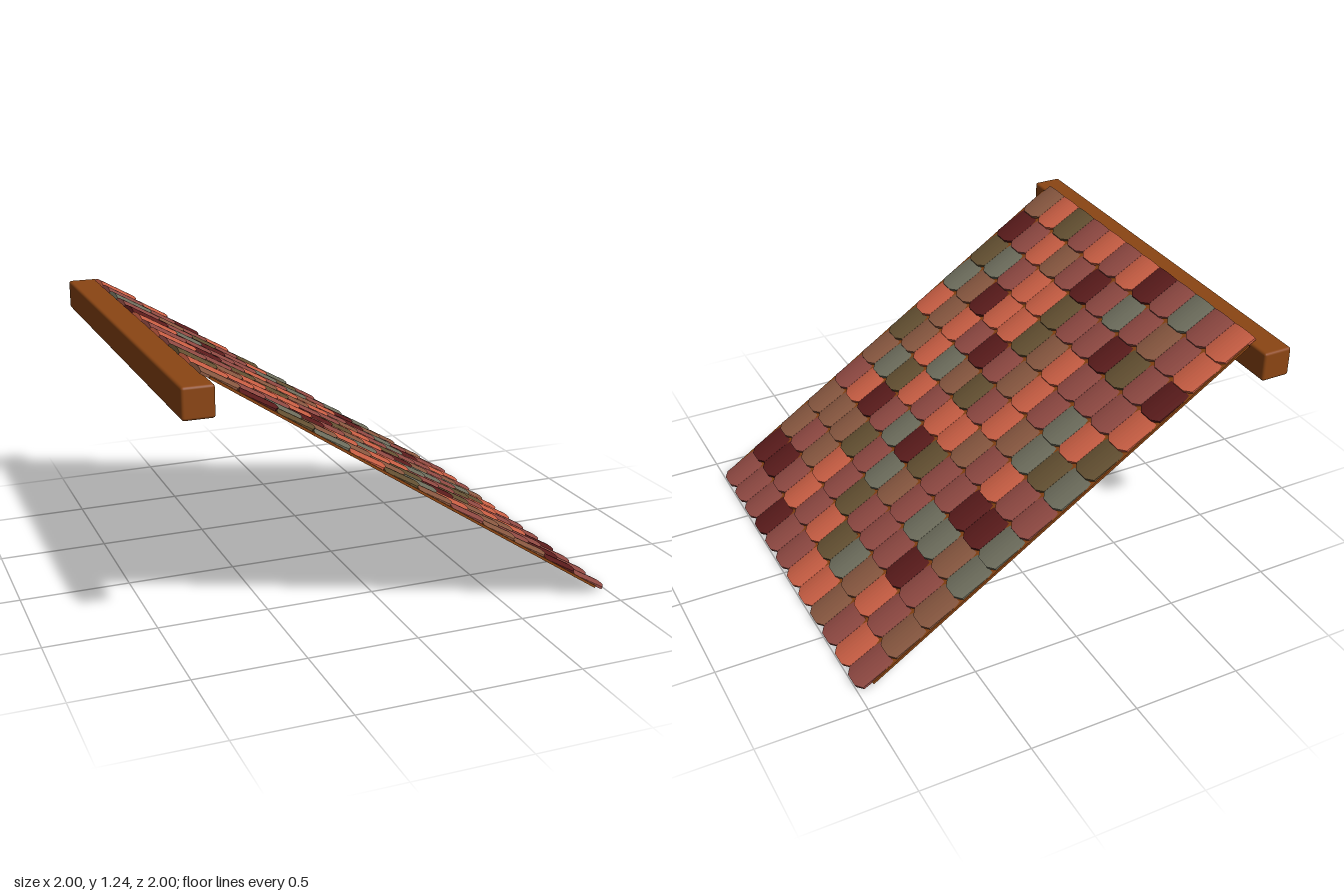
import * as THREE from 'three';
import { RoundedBoxGeometry } from 'three/addons/geometries/RoundedBoxGeometry.js';

const SLOPE = -0.583;
const PITCH_U = 0.187, PITCH_Z = 0.1483;
const TILE = { length: 0.192, thick: 0.018, arch: 0.009, clip: 0.024, tilt: -0.06 };

const GLAZES = {
  O: 0xcd6045, R: 0x934b44, D: 0x5c1c1c, B: 0x8c5a42, V: 0x665233, G: 0x70705f,
};

// One string per course, ridge to eave; letters run from +z to -z
const COURSES = [
  'BOVRORODRGRO', 'DROBRDRGRBRO', 'VGROOVRRDVRD', 'GBDOOVBORRRO',
  'OBORDRBORGOV', 'VBOGBVROBGVG', 'BGVOROOBRORR', 'RODRGDVRRDDG',
  'BBBVRGBRGGBG', 'BRBORVRRRDRB', 'DDROROVGBORB', 'RRRDRROOBROR',
];

// Arched tile: origin at the top of its lower edge, running back along -x
function tileGeometry() {
  const geo = new THREE.BoxGeometry(TILE.length, TILE.thick, PITCH_Z - 0.001, 1, 1, 8);
  geo.translate(-TILE.length / 2, -TILE.thick / 2, 0);
  const p = geo.attributes.position;
  for (let i = 0; i < p.count; i++) {
    const s = Math.abs(p.getZ(i)) / (PITCH_Z / 2);
    const top = p.getY(i) > -TILE.thick / 2;
    // round the back down at the sides and clip the lower corners
    p.setY(i, p.getY(i) - (top ? TILE.arch : 0.002) * s * s);
    if (p.getX(i) > -0.01) p.setX(i, p.getX(i) - TILE.clip * Math.max(0, (s - 0.5) / 0.5));
  }
  geo.computeVertexNormals();
  return geo;
}

export function createModel() {
  const model = new THREE.Group();
  model.name = 'tiledRoofSlope';
  const wood = new THREE.MeshStandardMaterial({ color: 0x8b4513 });

  // Ridge beam
  const beam = new THREE.Mesh(new RoundedBoxGeometry(0.135, 0.135, 2, 2, 0.012), wood);
  beam.name = 'ridgeBeam';
  beam.position.set(-0.9325, 1.152, 0);
  model.add(beam);

  // Sloped frame: x runs down the slope, y is its normal
  const slope = new THREE.Group();
  slope.name = 'slope';
  slope.rotation.z = SLOPE;
  model.add(slope);

  // Backing board
  const board = new THREE.Mesh(new THREE.BoxGeometry(2.14, 0.011, 1.795), wood);
  board.name = 'backingBoard';
  board.position.set(-0.311, 0.5435, -0.004);
  slope.add(board);

  // Courses of overlapping tiles
  const geo = tileGeometry();
  const glazes = {};
  for (const key in GLAZES) {
    glazes[key] = new THREE.MeshStandardMaterial({ color: GLAZES[key], flatShading: true });
  }
  COURSES.forEach((letters, row) => {
    const course = new THREE.Group();
    course.name = 'tileCourse' + (row + 1);
    course.position.set(0.825 - (COURSES.length - 1 - row) * PITCH_U, 0.568, 0);
    [...letters].forEach((key, col) => {
      const tile = new THREE.Mesh(geo, glazes[key]);
      tile.name = 'roofTile';
      tile.position.z = 0.885 - (col + 0.5) * PITCH_Z;
      tile.rotation.z = -TILE.tilt;
      course.add(tile);
    });
    slope.add(course);
  });

  return model;
}
